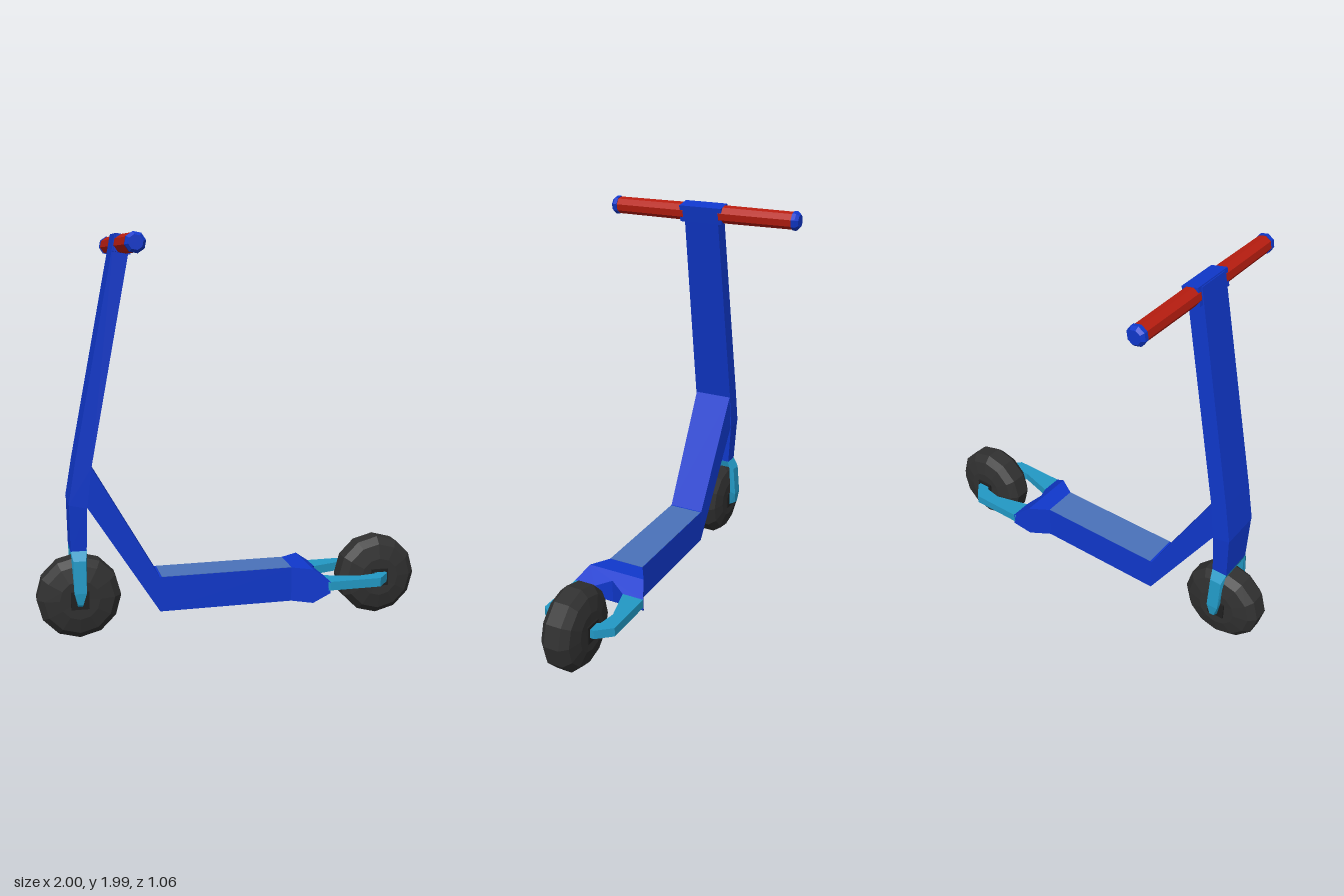
import * as THREE from 'three';

const material = (color) => new THREE.MeshStandardMaterial({ color, flatShading: true, side: THREE.DoubleSide });

// Extrudes an outline symmetrically; half(x, y) gives the half depth at each corner.
function prism(points, half) {
  const shape = new THREE.Shape(points.map(([x, y]) => new THREE.Vector2(x, y)));
  const geometry = new THREE.ExtrudeGeometry(shape, { depth: 2, bevelEnabled: false });
  geometry.translate(0, 0, -1);
  const p = geometry.attributes.position;
  for (let i = 0; i < p.count; i++) p.setZ(i, p.getZ(i) * half(p.getX(i), p.getY(i)));
  geometry.computeVertexNormals();
  return geometry;
}

// Body of revolution lying along z, from [radius, z] pairs.
function turned(profile, sides) {
  const points = profile.map(([r, z]) => new THREE.Vector2(r, z));
  return new THREE.LatheGeometry(points, sides).rotateX(Math.PI / 2);
}

export function createModel() {
  const model = new THREE.Group();
  const blue = material(0x1038cc);
  const lightBlue = material(0x4a72ba);
  const cyan = material(0x2299c5);
  const red = material(0xb81d10);
  const tyre = material(0x303030);
  const dark = material(0x202020);

  const add = (name, geometry, mat, parent = model) => {
    const mesh = new THREE.Mesh(geometry, mat);
    mesh.name = name;
    parent.add(mesh);
    return mesh;
  };

  // Wheels with square hubs
  const tyreProfile = [[0, -0.09], [0.1, -0.092], [0.175, -0.075], [0.21, -0.04],
    [0.21, 0.04], [0.175, 0.075], [0.1, 0.092], [0, 0.09]];
  for (const [name, x] of [['frontWheel', -0.79], ['rearWheel', 0.79]]) {
    const wheel = new THREE.Group();
    wheel.name = name;
    wheel.position.set(x, 0.21, 0);
    add('tyre', turned(tyreProfile, 12), tyre, wheel);
    add('hub', new THREE.BoxGeometry(0.09, 0.09, 0.2), dark, wheel);
    model.add(wheel);
  }

  // Steering column, leaning back and narrowing upwards
  const columnHalf = (x, y) => 0.108 - 0.014 * (y - 0.7) / 1.28;
  add('steeringColumn', prism([[-0.835, 0.7], [-0.745, 0.68], [-0.72, 0.88],
    [-0.507, 1.975], [-0.585, 1.99], [-0.8, 0.9]], columnHalf), blue);
  add('headTube', prism([[-0.83, 0.46], [-0.752, 0.46], [-0.745, 0.7], [-0.833, 0.71]],
    (x, y) => (y > 0.6 ? 0.107 : 0.093)), blue);

  // Down tube and deck
  add('downTube', prism([[-0.39, 0.12], [-0.39, 0.3], [-0.72, 0.88], [-0.75, 0.69]],
    (x, y) => (y > 0.5 ? 0.103 : 0.094)), blue);
  add('deck', prism([[-0.39, 0.12], [0.32, 0.12], [0.32, 0.3], [-0.39, 0.3]], () => 0.094), blue);
  add('deckMat', new THREE.BoxGeometry(0.68, 0.01, 0.186), lightBlue).position.set(-0.04, 0.297, 0);

  // Flared yoke behind the deck, thinning towards its notched end
  const yokeHalf = (x) => (x > 0.4 ? 0.09 - (x - 0.4) * 0.75 : 0.09);
  const yokeParts = {
    yokeFlare: [[0.3, -0.094], [0.4, -0.155], [0.4, 0.155], [0.3, 0.094]],
    yokeEnd: [[0.4, -0.155], [0.48, -0.195], [0.48, -0.08], [0.44, 0],
      [0.48, 0.08], [0.48, 0.195], [0.4, 0.155]],
  };
  for (const [name, outline] of Object.entries(yokeParts)) {
    add(name, prism(outline, yokeHalf).rotateX(-Math.PI / 2), blue).position.y = 0.21;
  }

  // Rear fork arms
  for (const s of [1, -1]) {
    const outline = [[0.47, 0.19], [0.48, 0.195], [0.755, 0.195], [0.82, 0.12], [0.82, 0.085],
      [0.77, 0.085], [0.75, 0.115], [0.66, 0.13], [0.47, 0.078]];
    add(s > 0 ? 'rearForkRight' : 'rearForkLeft',
      prism(outline.map(([x, z]) => [x, z * s]), () => 0.023).rotateX(-Math.PI / 2), cyan).position.y = 0.217;
  }

  // Front fork: one arch over the wheel, narrowing to its tips
  const side = [[0.092, 0.465], [0.125, 0.42], [0.14, 0.26], [0.135, 0.2], [0.1, 0.18],
    [0.085, 0.2], [0.108, 0.27], [0.098, 0.428]];
  const outer = side.slice(0, 5);
  const inner = side.slice(5);
  const mirror = (list) => list.map(([x, y]) => [-x, y]).reverse();
  const arch = [...outer, ...inner, ...mirror(inner), ...mirror(outer)];
  const forkHalf = (x, y) => (y > 0.45 ? 0.04 : y > 0.25 ? 0.03 : 0.012);
  add('frontFork', prism(arch, forkHalf).rotateY(Math.PI / 2), cyan).position.x = -0.79;

  // Handlebar with grips and end caps
  const handlebar = new THREE.Group();
  handlebar.name = 'handlebar';
  handlebar.position.set(-0.547, 1.945, 0);
  handlebar.rotation.z = -0.19;
  add('clamp', new THREE.BoxGeometry(0.082, 0.086, 0.236), blue, handlebar);
  for (const s of [1, -1]) {
    const sideName = s > 0 ? 'Left' : 'Right';
    const grip = add('grip' + sideName, turned([[0.046, 0], [0.044, 0.4]], 8), red, handlebar);
    grip.position.z = 0.1 * s;
    const cap = add('endCap' + sideName,
      turned([[0, 0], [0.048, 0], [0.048, 0.02], [0.034, 0.035], [0, 0.035]], 8), blue, handlebar);
    cap.position.z = 0.495 * s;
    if (s < 0) grip.rotation.y = cap.rotation.y = Math.PI;
    for (const part of [grip, cap]) part.geometry.rotateZ(Math.PI / 8);
  }
  model.add(handlebar);

  return model;
}
